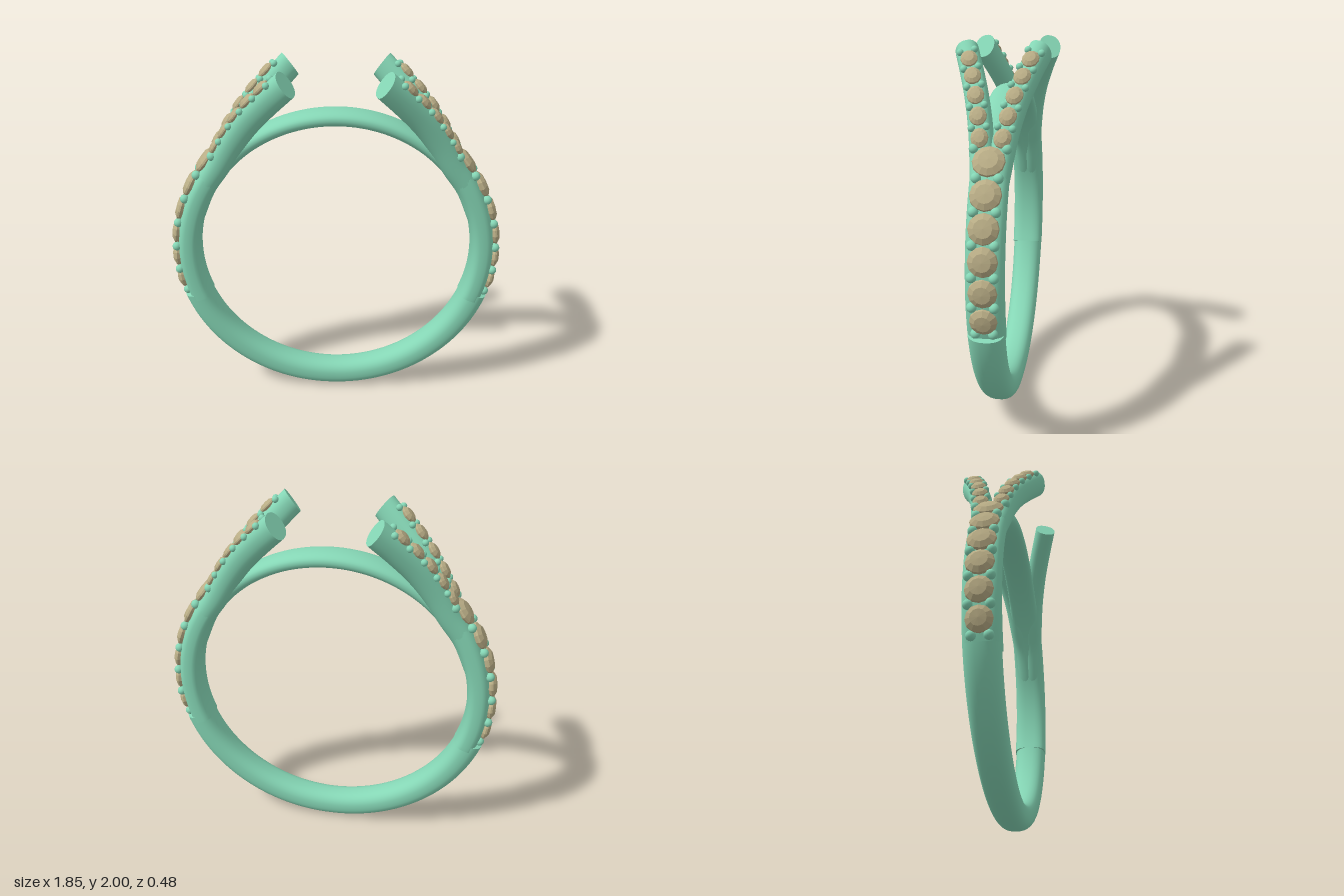
import * as THREE from 'three';

const metal = new THREE.MeshStandardMaterial({ color: 0x85d6b5 });
const stone = new THREE.MeshStandardMaterial({ color: 0xb9ad86, flatShading: true });
const CENTER_Y = 0.915, INNER = 0.76, DEG = Math.PI / 180;
const { lerp, smoothstep } = THREE.MathUtils;

// Sweep a superellipse section along frames { pos, tan, out, h, w, n, cut }
function sweep(frameAt, steps, sides = 32) {
  const pos = [], idx = [], rings = [];
  const V = new THREE.Vector3();
  for (let i = 0; i <= steps; i++) {
    const f = frameAt(i / steps);
    const side = new THREE.Vector3().crossVectors(f.tan, f.out).normalize();
    const ring = [];
    for (let j = 0; j < sides; j++) {
      const a = (j / sides) * Math.PI * 2, c = Math.cos(a), s = Math.sin(a);
      const pw = (v) => Math.sign(v) * Math.pow(Math.abs(v), 2 / f.n);
      V.copy(f.pos).addScaledVector(f.cut || f.out, pw(c) * f.h).addScaledVector(side, pw(s) * f.w);
      ring.push(V.clone());
      pos.push(V.x, V.y, V.z);
    }
    rings.push({ ring, center: f.pos });
  }
  for (let i = 0; i < steps; i++) {
    for (let j = 0; j < sides; j++) {
      const k = (j + 1) % sides;
      const a = i * sides + j, b = i * sides + k, c = a + sides, d = b + sides;
      idx.push(a, b, d, a, d, c);
    }
  }
  // flat end caps with their own vertices
  [rings[0], rings[steps]].forEach(({ ring, center }, e) => {
    const base = pos.length / 3;
    pos.push(center.x, center.y, center.z);
    ring.forEach((p) => pos.push(p.x, p.y, p.z));
    for (let j = 0; j < sides; j++) {
      const a = base + 1 + j, b = base + 1 + ((j + 1) % sides);
      if (e) idx.push(base, a, b); else idx.push(base, b, a);
    }
  });
  const g = new THREE.BufferGeometry();
  g.setAttribute('position', new THREE.Float32BufferAttribute(pos, 3));
  g.setIndex(idx);
  g.computeVertexNormals();
  return g;
}

function ringFrame(theta, thick, w, n) {
  const out = new THREE.Vector3(Math.cos(theta), Math.sin(theta), 0);
  const pos = out.clone().multiplyScalar(INNER + thick / 2);
  pos.y += CENTER_Y;
  return { pos, out, tan: new THREE.Vector3(-out.y, out.x, 0), h: thick / 2, w, n };
}

// Centre line of one split arm, mirrored by sx and sz
function armFrames(sx, sz) {
  const curve = new THREE.CatmullRomCurve3([
    [0.79, 1.13, 0.02], [0.71, 1.325, 0.03], [0.625, 1.455, 0.044],
    [0.54, 1.595, 0.065], [0.447, 1.725, 0.098], [0.345, 1.838, 0.14], [0.243, 1.942, 0.185],
  ].map(([x, y, z]) => new THREE.Vector3(x * sx, y, z * sz)));
  const tip = new THREE.Vector3(0.59 * sx, 0.81, 0);
  return (u) => {
    const tan = curve.getTangentAt(u);
    const out = new THREE.Vector3(tan.y * sx, -tan.x * sx, 0).normalize();
    const cut = out.clone().lerp(tip, smoothstep(u, 0.85, 1)).normalize();
    return { pos: curve.getPointAt(u), tan, out, cut, h: lerp(0.058, 0.0715, Math.min(1, u * 1.4)), w: 0.06, n: 2.2 };
  };
}

// Faceted round stone of unit radius, and a round bead
const gemGeo = new THREE.LatheGeometry(
  [[0, -0.4], [0.8, -0.3], [1, 0], [0.96, 0.15], [0.6, 0.4], [0, 0.45]].map(([x, y]) => new THREE.Vector2(x, y)), 12);
const beadGeo = new THREE.SphereGeometry(1, 14, 10);

// Put a mesh on a frame: lift along the outward normal, slide across the band
function place(group, geo, mat, name, f, lift, across, scale) {
  const side = new THREE.Vector3().crossVectors(f.tan, f.out).normalize();
  const m = new THREE.Mesh(geo, mat);
  m.name = name;
  m.quaternion.setFromRotationMatrix(new THREE.Matrix4().makeBasis(f.tan, f.out, side));
  m.position.copy(f.pos).addScaledVector(f.out, lift).addScaledVector(side, across);
  m.scale.set(...scale);
  group.add(m);
}

function beadPair(group, f, lift, across, r) {
  for (const s of [-1, 1]) place(group, beadGeo, metal, 'bead', f, lift, s * across, [r, r, r]);
}

export function createModel() {
  const model = new THREE.Group();
  const add = (geo, name) => {
    const m = new THREE.Mesh(geo, metal);
    m.name = name;
    model.add(m);
  };

  // Thicker plain lower half of the band
  add(sweep((t) => {
    const d = lerp(-162.5, -17.5, t);
    return ringFrame(d * DEG, 0.155, lerp(0.08, 0.09, Math.abs(d + 90) / 72.5), 2.4);
  }, 80), 'lowerShank');

  // Lowered stone-set shoulders that thin into the top bridge
  add(sweep((t) => {
    const d = lerp(-20, 200, t);
    const up = 90 - Math.abs(d - 90);
    const k = smoothstep(up, 40, 56);
    return ringFrame(d * DEG, lerp(0.125, 0.085, k), lerp(0.093, 0.085, k), lerp(2.8, 2.3, k));
  }, 120), 'upperShankAndBridge');

  for (const sx of [1, -1]) {
    // Row of large stones on the shoulder
    const shoulder = new THREE.Group();
    shoulder.name = sx > 0 ? 'leftShoulderStones' : 'rightShoulderStones';
    model.add(shoulder);
    const at = (d) => ringFrame((sx > 0 ? d : 180 - d) * DEG, 0.125, 0.09, 2.5);
    const angles = [-10.6, -1.3, 8.3, 18, 28, 38.6];
    angles.forEach((d, i) => {
      const r = lerp(0.068, 0.08, i / 5);
      place(shoulder, gemGeo, stone, 'stone', at(d), 0.07, 0, [r, 0.068, r]);
      const next = i < 5 ? (d + angles[i + 1]) / 2 : d + 4.5;
      beadPair(shoulder, at(next), 0.068, i < 5 ? 0.053 : 0.078, 0.025);
    });
    beadPair(shoulder, at(-15.4), 0.064, 0.042, 0.025);

    // Forked arms with small stones
    for (const sz of [1, -1]) {
      const frame = armFrames(sx, sz);
      add(sweep(frame, 50), 'splitArm');
      const row = new THREE.Group();
      row.name = 'armStones';
      model.add(row);
      for (let i = 0; i < 5; i++) {
        const u = 0.46 + 0.107 * i, f = frame(u);
        place(row, gemGeo, stone, 'smallStone', f, f.h, 0, [0.05, 0.05, 0.043]);
        const b = frame(u + 0.0535);
        beadPair(row, b, b.h - 0.004, 0.036, 0.018);
      }
    }
  }
  return model;
}
